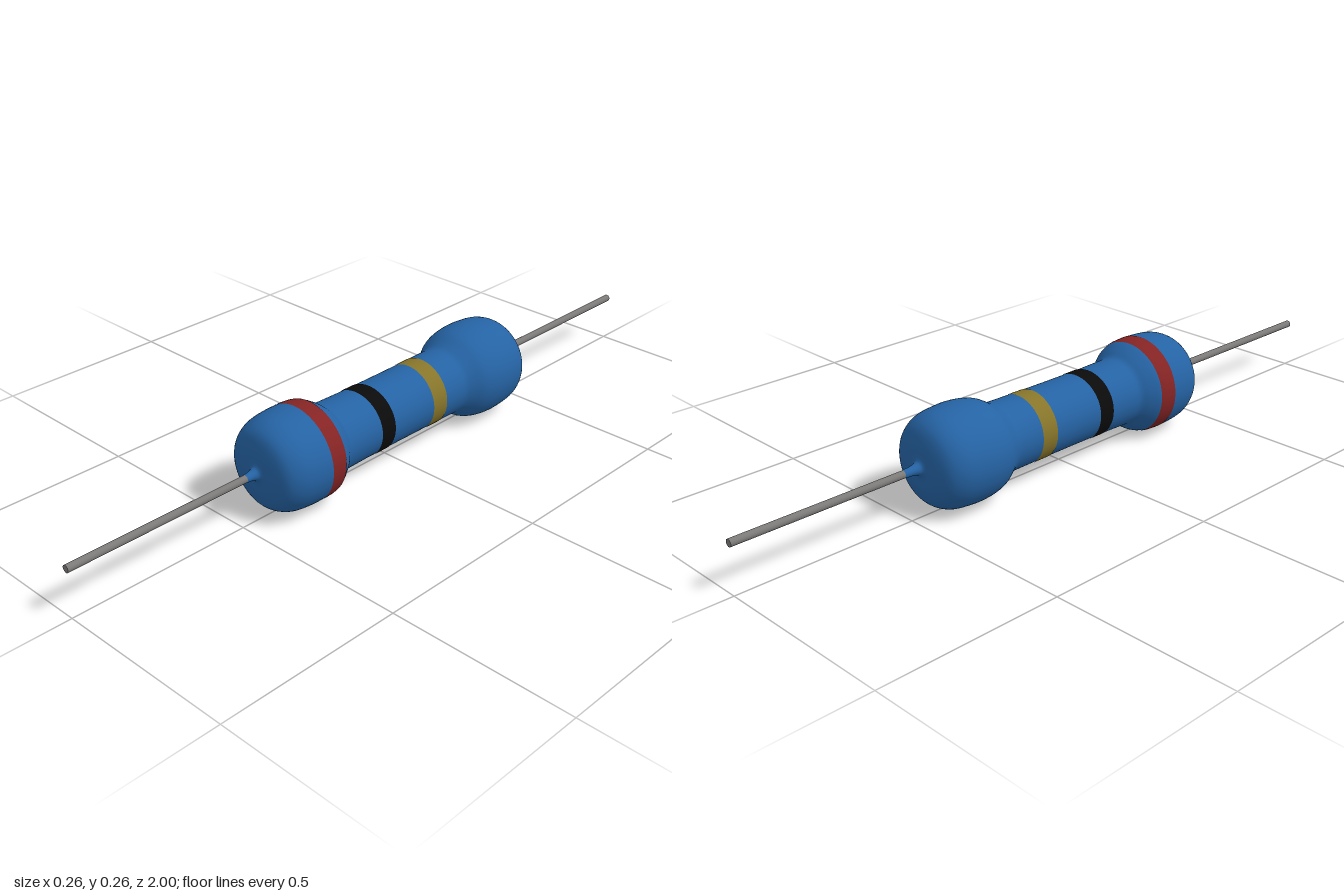
import * as THREE from 'three';

const AXIS_Y = 0.1315; // height of the long axis
const SIDES = 64;

function material(name, color) {
  const m = new THREE.MeshStandardMaterial({ color });
  m.name = name;
  return m;
}

// Half outline of the body as [radius, z], from the back tip to the front tip
const OUTLINE = [
  [0.0105, -0.52], [0.013, -0.49], [0.02, -0.474], [0.06, -0.468], [0.1, -0.452],
  [0.122, -0.42], [0.13, -0.37], [0.13, -0.32], [0.121, -0.275], [0.103, -0.243],
  [0.0945, -0.225], [0.093, -0.2], [0.093, 0.2], [0.0955, 0.22], [0.11, 0.24],
  [0.126, 0.268], [0.13, 0.3], [0.13, 0.35], [0.122, 0.4], [0.1, 0.433],
  [0.06, 0.447], [0.02, 0.453], [0.013, 0.465], [0.0105, 0.485],
];

// Smooth outline sampled from the control points
const profile = new THREE.CatmullRomCurve3(OUTLINE.map(([r, z]) => new THREE.Vector3(r, z, 0)))
  .getPoints((OUTLINE.length - 1) * 4)
  .map((p) => new THREE.Vector2(p.x, p.y));

// Body radius at a given z
function radiusAt(z) {
  const i = Math.max(1, profile.findIndex((p) => p.y >= z));
  const a = profile[i - 1], b = profile[i];
  return THREE.MathUtils.mapLinear(z, a.y, b.y, a.x, b.x);
}

// Surface of revolution about the z axis
function revolve(points) {
  return new THREE.LatheGeometry(points, SIDES).rotateX(Math.PI / 2);
}

// Thin painted ring following the body, optionally slanted across x
function bandGeometry(z0, z1, slant = 0) {
  const points = [];
  for (let i = 0; i <= 8; i++) {
    const z = THREE.MathUtils.lerp(z0, z1, i / 8);
    points.push(new THREE.Vector2(radiusAt(z) + 0.0012, z));
  }
  const geometry = revolve(points);
  const pos = geometry.attributes.position;
  for (let i = 0; i < pos.count; i++) pos.setZ(i, pos.getZ(i) - slant * pos.getX(i));
  return geometry;
}

export function createModel() {
  const blue = material('blue coating', 0x2563a4);
  const red = material('red paint', 0x852424);
  const black = material('black paint', 0x0b0b0b);
  const gold = material('gold paint', 0x87752a);
  const metal = material('grey wire', 0x7c7a79);

  const group = new THREE.Group();
  group.name = 'resistor';

  const add = (name, geometry, mat) => {
    const mesh = new THREE.Mesh(geometry, mat);
    mesh.name = name;
    mesh.position.y = AXIS_Y;
    group.add(mesh);
  };

  // Coated body with bulging end caps
  add('body', revolve(profile), blue);

  // Colour code rings
  add('redBand', bandGeometry(0.267, 0.316), red);
  add('blackBand', bandGeometry(0.06, 0.108, 0.06), black);
  add('goldBand', bandGeometry(-0.144, -0.093), gold);

  // Wire leads at both ends
  for (const [name, side] of [['frontLead', 1], ['backLead', -1]]) {
    const wire = new THREE.CylinderGeometry(0.01, 0.01, 0.58, 24).rotateX(Math.PI / 2);
    add(name, wire.translate(0, 0, side * 0.71), metal);
  }

  return group;
}
